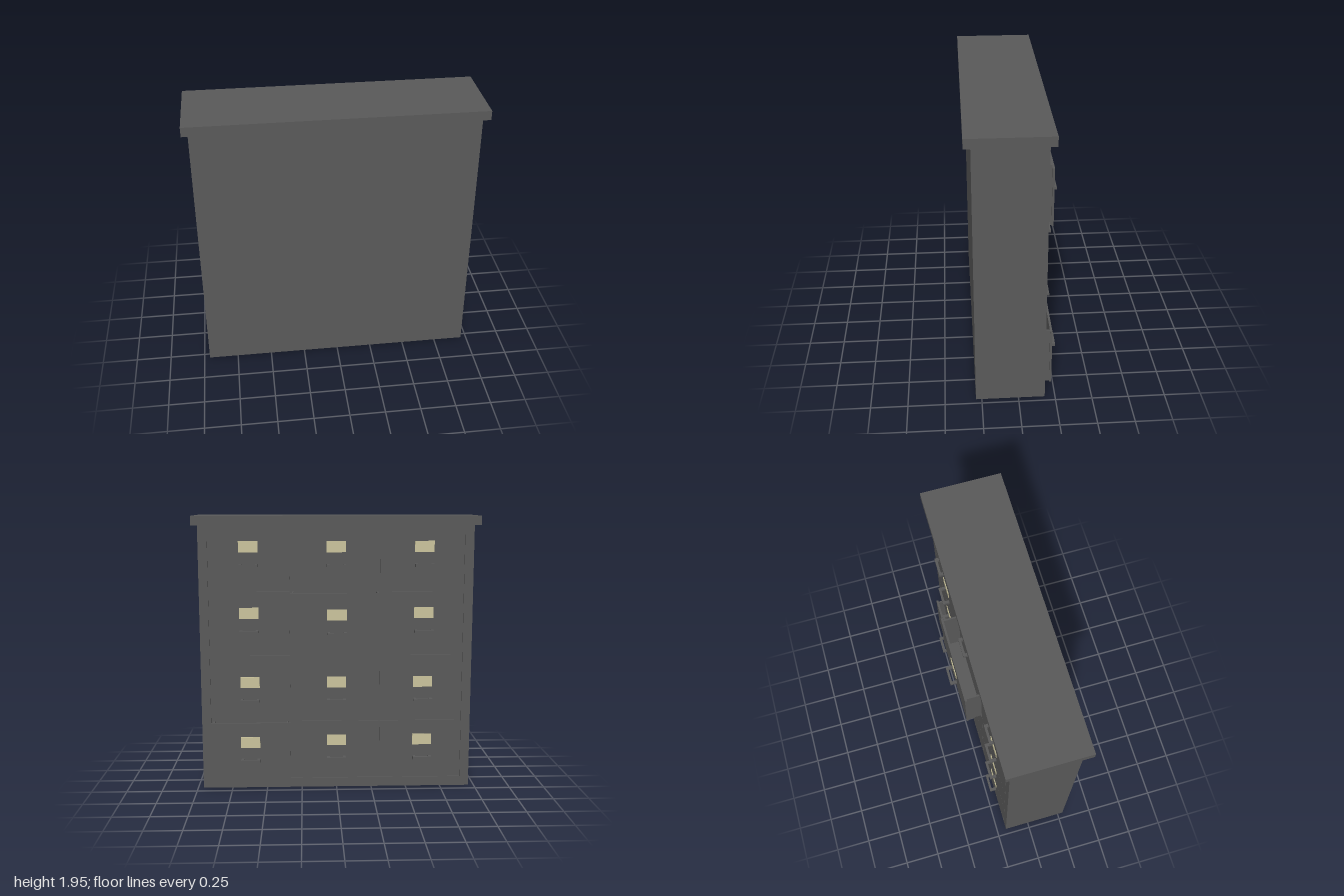
import * as THREE from 'three';

export function createModel() {
  const model = new THREE.Group();
  model.name = 'drawerCabinet';

  const metal = new THREE.MeshStandardMaterial({ color: 0x5a5a5a });
  metal.name = 'dark grey metal';
  const paper = new THREE.MeshStandardMaterial({ color: 0xccc59d });
  paper.name = 'cream paper';

  // Box given by its minimum and maximum on each axis
  function box(parent, name, [x0, x1], [y0, y1], [z0, z1], material = metal) {
    const mesh = new THREE.Mesh(new THREE.BoxGeometry(x1 - x0, y1 - y0, z1 - z0), material);
    mesh.position.set((x0 + x1) / 2, (y0 + y1) / 2, (z0 + z1) / 2);
    mesh.name = name;
    parent.add(mesh);
  }

  const FACE = -0.18;   // plane of the closed drawer fronts
  const CORE = -0.17;   // carcass behind the fronts

  // Carcass, front frame and overhanging top
  box(model, 'carcass', [-0.96, 0.96], [0, 1.88], [CORE, 0.29]);
  box(model, 'frameLeft', [0.896, 0.96], [0, 1.88], [FACE, CORE]);
  box(model, 'frameRight', [-0.96, -0.896], [0, 1.88], [FACE, CORE]);
  box(model, 'frameBottom', [-0.896, 0.896], [0, 0.067], [FACE, CORE]);
  box(model, 'frameTop', [-0.896, 0.896], [1.85, 1.88], [FACE, CORE]);
  box(model, 'topSlab', [-1, 1], [1.88, 1.945], [-0.22, 0.335]);

  // Handle: two posts and a bar, pointing to -z from the drawer front
  function addHandle(parent, x, y, z) {
    const handle = new THREE.Group();
    handle.name = 'handle';
    const h = [y - 0.01, y + 0.01];
    for (const s of [-1, 1]) {
      const cx = x + s * 0.057;
      box(handle, 'handlePost', [cx - 0.01, cx + 0.01], h, [z - 0.033, z]);
    }
    box(handle, 'handleBar', [x - 0.067, x + 0.067], h, [z - 0.048, z - 0.032]);
    parent.add(handle);
  }

  const columns = [
    { x: [-0.893, -0.308], mid: -0.614 },
    { x: [-0.303, 0.324], mid: 0.002 },
    { x: [0.33, 0.893], mid: 0.614 },
  ];
  const rows = [
    { y: [0.07, 0.49], handle: 0.22 },
    { y: [0.495, 0.97], handle: 0.645 },
    { y: [0.975, 1.42], handle: 1.14 },
    { y: [1.425, 1.847], handle: 1.603 },
  ];
  // Distance each open drawer is pulled out, keyed by column and row
  const pulled = { '1,2': 0.11, '2,0': 0.05 };

  columns.forEach((col, c) => rows.forEach((row, r) => {
    const out = pulled[`${c},${r}`] || 0;
    const z = FACE - out;
    const drawer = new THREE.Group();
    drawer.name = out ? 'openDrawer' : 'closedDrawer';

    box(drawer, 'drawerFront', col.x, row.y, [z, z + (out ? 0.015 : 0.01)]);

    // Open tray behind a pulled-out front
    if (out) {
      const [x0, x1] = [col.x[0] + 0.013, col.x[1] - 0.013];
      const [y0, y1] = row.y;
      const depth = [z + 0.015, CORE];
      box(drawer, 'drawerSide', [x0, x0 + 0.012], [y0, y1], depth);
      box(drawer, 'drawerSide', [x1 - 0.012, x1], [y0, y1], depth);
      box(drawer, 'drawerFloor', [x0 + 0.012, x1 - 0.012], [y0, y0 + 0.012], depth);
    }

    // Label card and handle
    const ly = row.handle + 0.13;
    box(drawer, 'labelCard', [col.mid - 0.068, col.mid + 0.068], [ly - 0.039, ly + 0.039],
      [z - 0.004, z], paper);
    addHandle(drawer, col.mid, row.handle, z);
    model.add(drawer);
  }));

  return model;
}
